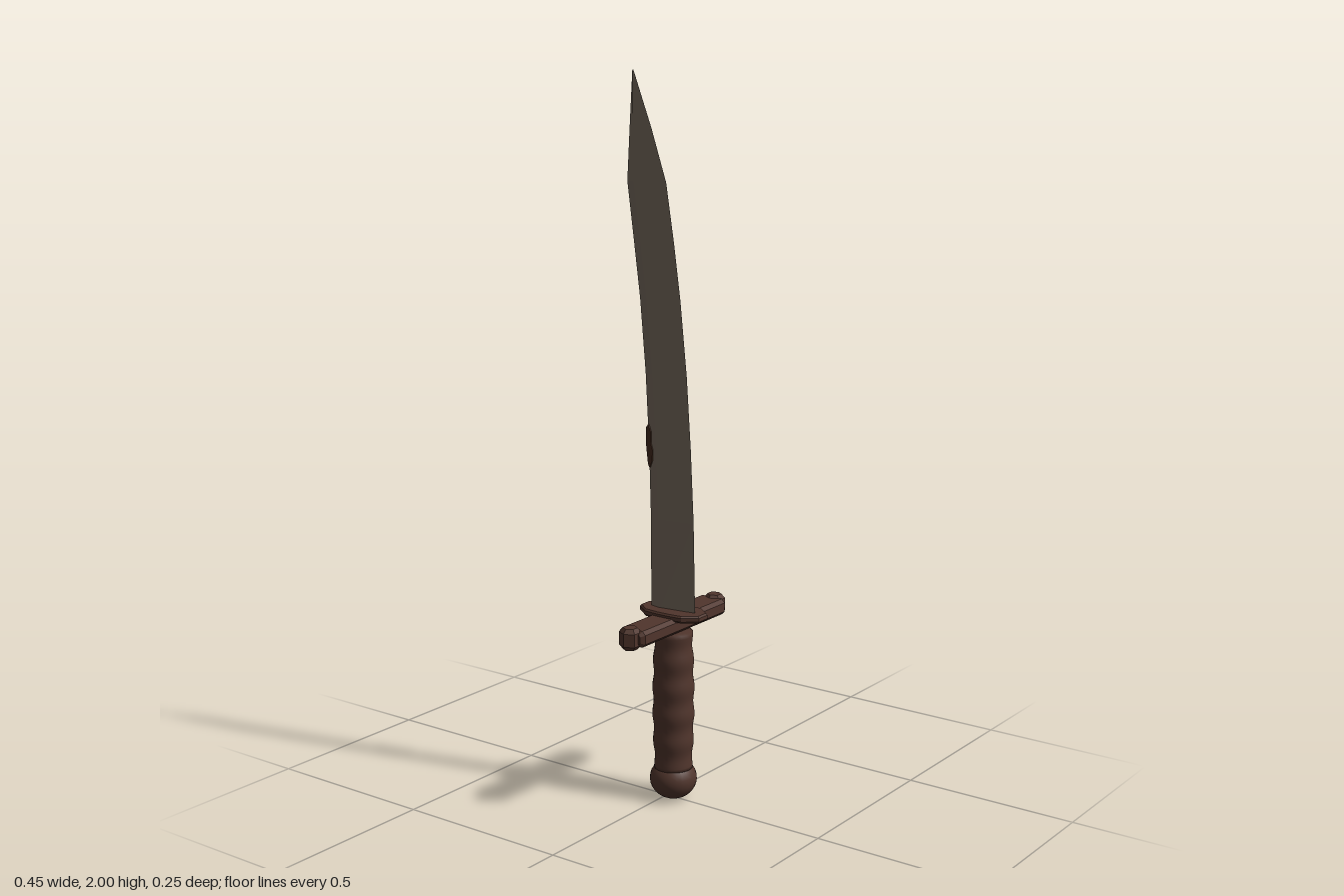
import * as THREE from 'three';

const steel = new THREE.MeshStandardMaterial({ color: 0x766a5d });
steel.name = 'tarnishedSteel';
const wood = new THREE.MeshStandardMaterial({ color: 0x50352c });
wood.name = 'brownWood';
const rust = new THREE.MeshStandardMaterial({ color: 0x42291c });
rust.name = 'darkRust';

const GRIP_Z = 0.023; // the hilt's axis sits slightly forward

function flat(geometry) {
  const g = geometry.index ? geometry.toNonIndexed() : geometry;
  g.computeVertexNormals();
  return g;
}

function part(group, name, geometry, material, x = 0, y = 0, z = 0) {
  const mesh = new THREE.Mesh(geometry, material);
  mesh.name = name;
  mesh.position.set(x, y, z);
  group.add(mesh);
  return mesh;
}

// Curved single-edged blade: five-sided sections stacked up y
function bladeGeometry() {
  // [y, cutting edge z, back z, half thickness]
  const sections = [
    [0.53, 0.096, -0.046, 0.015], [0.8, 0.09, -0.047, 0.015],
    [1.0, 0.08, -0.053, 0.015], [1.2, 0.066, -0.064, 0.015],
    [1.4, 0.045, -0.082, 0.015], [1.55, 0.024, -0.102, 0.0145],
    [1.71, -0.002, -0.124, 0.014], [1.85, -0.05, -0.118, 0.009],
    [2.0, -0.109, -0.112, 0.001],
  ];
  const pos = [], index = [];
  for (const [y, front, back, w] of sections) {
    const ridge = back + (front - back) * 0.2;
    pos.push(0, y, front, w, y, ridge, w * 0.6, y, back, -w * 0.6, y, back, -w, y, ridge);
  }
  for (let s = 0; s < sections.length - 1; s++) {
    for (let i = 0; i < 5; i++) {
      const a = s * 5 + i, b = s * 5 + (i + 1) % 5;
      index.push(a, b, b + 5, a, b + 5, a + 5);
    }
  }
  const t = (sections.length - 1) * 5;
  for (let i = 1; i < 4; i++) index.push(t, t + i, t + i + 1, 0, i + 1, i);
  const g = new THREE.BufferGeometry();
  g.setAttribute('position', new THREE.Float32BufferAttribute(pos, 3));
  g.setIndex(index);
  return flat(g);
}

const shapeOf = (points) => new THREE.Shape(points.map(([x, y]) => new THREE.Vector2(x, y)));

// Worn patch around the back of the blade, drawn in (-z, y)
function patchGeometry() {
  const shape = shapeOf([
    [0.047, 0.94], [0.052, 0.95], [0.058, 1.0], [0.059, 1.05],
    [0.052, 1.06], [0.043, 1.04], [0.044, 1.01], [0.037, 0.99], [0.038, 0.96],
  ]);
  const g = new THREE.ExtrudeGeometry(shape, { depth: 0.031, bevelEnabled: false });
  return g.translate(0, 0, -0.0155).rotateY(Math.PI / 2);
}

// Elongated collar plate under the blade
function collarGeometry() {
  const shape = shapeOf([
    [-0.018, -0.096], [0.018, -0.096], [0.046, -0.06], [0.05, -0.02], [0.05, 0.02],
    [0.046, 0.06], [0.018, 0.096], [-0.018, 0.096], [-0.046, 0.06],
    [-0.05, 0.02], [-0.05, -0.02], [-0.046, -0.06],
  ]);
  const g = new THREE.ExtrudeGeometry(shape, {
    depth: 0.01, bevelThickness: 0.005, bevelSize: 0.004, bevelSegments: 1,
  });
  return g.rotateX(-Math.PI / 2);
}

// Chamfered cross bar lying along x
function barGeometry() {
  const y = 0.0225, z = 0.043, c = 0.01;
  const shape = shapeOf([
    [-z + c, -y], [z - c, -y], [z, -y + c], [z, y - c],
    [z - c, y], [-z + c, y], [-z, y - c], [-z, -y + c],
  ]);
  const g = new THREE.ExtrudeGeometry(shape, {
    depth: 0.37, bevelThickness: 0.01, bevelSize: 0.01, bevelOffset: -0.01, bevelSegments: 1,
  });
  return g.translate(0, 0, -0.185).rotateY(Math.PI / 2);
}

// Six-sided knob with bevelled top and bottom
function knobGeometry() {
  const profile = [[0, -0.03], [0.02, -0.03], [0.03, -0.018], [0.03, 0.018], [0.02, 0.03], [0, 0.03]]
    .map(([r, y]) => new THREE.Vector2(r, y));
  return flat(new THREE.LatheGeometry(profile, 6, Math.PI / 6 + Math.PI / 3));
}

// Grip with shallow ripples
function gripGeometry() {
  const profile = [new THREE.Vector2(0, 0.09)];
  for (let i = 0; i <= 40; i++) {
    const t = i / 40;
    const r = 0.052 + 0.005 * Math.sin(Math.PI * t) + 0.002 * Math.cos(t * Math.PI * 10);
    profile.push(new THREE.Vector2(r, 0.09 + 0.395 * t));
  }
  profile.push(new THREE.Vector2(0.048, 0.491), new THREE.Vector2(0, 0.491));
  return new THREE.LatheGeometry(profile, 24);
}

export function createModel() {
  const model = new THREE.Group();
  model.name = 'sword';

  part(model, 'blade', bladeGeometry(), steel);
  part(model, 'rustPatch', patchGeometry(), rust);

  const guard = new THREE.Group();
  guard.name = 'guard';
  model.add(guard);
  part(guard, 'collar', collarGeometry(), wood, 0, 0.535, GRIP_Z);
  part(guard, 'crossBar', barGeometry(), wood, 0, 0.516, GRIP_Z);
  for (const side of [-1, 1]) {
    part(guard, side > 0 ? 'leftKnob' : 'rightKnob', knobGeometry(), wood, side * 0.195, 0.516, GRIP_Z);
  }

  part(model, 'grip', gripGeometry(), wood, 0, 0, GRIP_Z);
  const pommel = part(model, 'pommel', new THREE.SphereGeometry(0.066, 24, 16), wood, 0, 0.058, GRIP_Z);
  pommel.scale.y = 0.88;

  return model;
}
